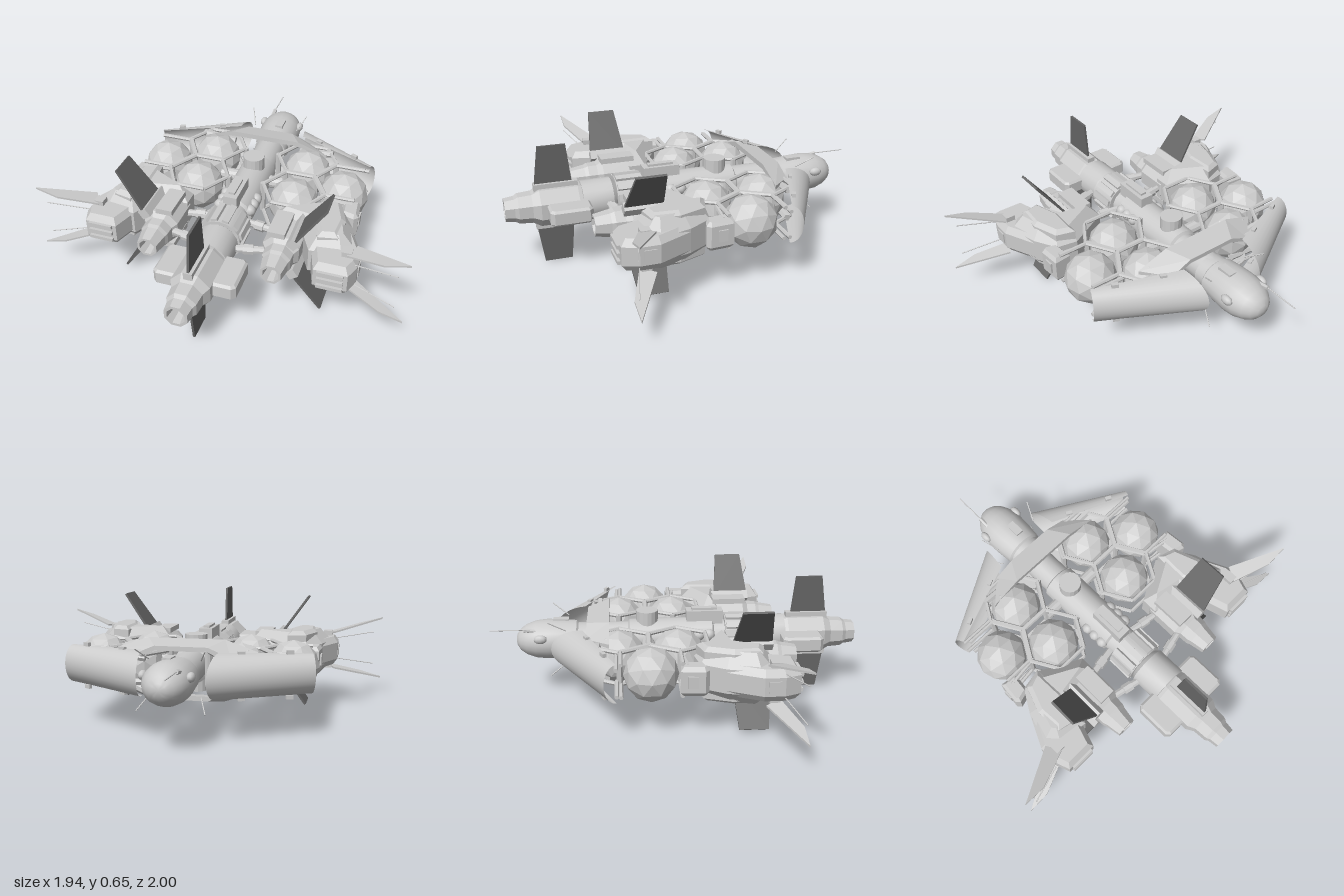
import * as THREE from 'three';
import { toCreasedNormals } from 'three/addons/utils/BufferGeometryUtils.js';

const CY = 0.327; // height of the ship's mid-plane

export function createModel() {
  const root = new THREE.Group();
  const grey = new THREE.MeshStandardMaterial({ color: 0xcccccc });
  const flat = new THREE.MeshStandardMaterial({ color: 0xcccccc, flatShading: true });
  const thin = new THREE.MeshStandardMaterial({ color: 0xcccccc, side: THREE.DoubleSide });
  const dark = new THREE.MeshStandardMaterial({ color: 0x666666, flatShading: true });
  const V = (x, y, z) => new THREE.Vector3(x, y, z);

  function add(name, geo, mat = flat, x = 0, y = 0, z = 0) {
    const m = new THREE.Mesh(geo, mat);
    m.name = name;
    m.position.set(x, y, z);
    root.add(m);
    return m;
  }
  const box = (name, w, h, d, x, y, z) => add(name, new THREE.BoxGeometry(w, h, d), flat, x, y, z);

  // Round bar between two points
  function bar(name, a, b, r, sides = 6) {
    const d = b.clone().sub(a);
    const m = add(name, new THREE.CylinderGeometry(r, r, d.length(), sides), flat);
    m.position.copy(a).add(b).multiplyScalar(0.5);
    m.quaternion.setFromUnitVectors(V(0, 1, 0), d.normalize());
    return m;
  }
  // Turned body along z from [z, radius] pairs
  function turned(name, pts, x, sides, mat = flat) {
    let g = new THREE.LatheGeometry(pts.map(([z, r]) => new THREE.Vector2(r, z)), sides);
    g.rotateX(Math.PI / 2);
    if (sides <= 8) g.rotateZ(Math.PI / sides);
    if (mat === grey) g = toCreasedNormals(g, 0.6);
    return add(name, g, mat, x, CY, 0);
  }
  // Chamfered slab from a plan outline in x and z
  function slab(name, pts, y0, y1, chamfer, drop = chamfer, s = 1) {
    const shape = new THREE.Shape(pts.map(([x, z]) => new THREE.Vector2(x * s, z)));
    const g = new THREE.ExtrudeGeometry(shape, {
      depth: y1 - y0 - 2 * drop, bevelEnabled: chamfer > 0, bevelSegments: 1,
      bevelSize: chamfer, bevelOffset: -chamfer, bevelThickness: drop });
    g.rotateX(Math.PI / 2);
    return add(name, g, flat, 0, y1 - drop, 0);
  }
  // Tapered fin growing in the x-y plane from root to tip
  function fin(name, x0, y0, x1, y1, rootZ, tipZ) {
    const len = Math.hypot(x1 - x0, y1 - y0);
    const sh = new THREE.Shape([
      new THREE.Vector2(0, rootZ[0]), new THREE.Vector2(len, tipZ[0]),
      new THREE.Vector2(len, tipZ[1]), new THREE.Vector2(0, rootZ[1])]);
    const g = new THREE.ExtrudeGeometry(sh, { depth: 0.012, bevelEnabled: false });
    g.translate(0, 0, -0.006).rotateX(Math.PI / 2);
    add(name, g, dark, x0, y0, 0).rotation.z = Math.atan2(y1 - y0, x1 - x0);
  }

  // Head
  turned('head', [[-0.87, 0], [-0.865, 0.035], [-0.845, 0.068], [-0.81, 0.095], [-0.76, 0.115], [-0.7, 0.122],
    [-0.62, 0.118], [-0.54, 0.11], [-0.53, 0.098], [-0.47, 0.095], [-0.47, 0]], 0, 20, grey).scale.y = 0.88;
  box('headHatch', 0.045, 0.02, 0.085, 0.02, CY + 0.1, -0.625);
  bar('antenna', V(-0.07, 0.405, -0.78), V(-0.07, 0.405, -1), 0.003);
  bar('antennaMount', V(-0.07, 0.39, -0.74), V(-0.07, 0.405, -0.82), 0.012);

  // Spine and main engine
  turned('spine', [[-0.5, 0], [-0.5, 0.085], [-0.26, 0.085], [-0.25, 0.1], [0.2, 0.1], [0.21, 0.085], [0.27, 0.085],
    [0.27, 0.11], [0.42, 0.11], [0.42, 0.09], [0.44, 0.108], [0.6, 0.108], [0.61, 0]], 0, 16, grey);
  turned('mainEngine', [[0.58, 0], [0.58, 0.1], [0.62, 0.108], [0.82, 0.108], [0.86, 0.085], [0.93, 0.08],
    [0.95, 0.068], [1, 0.062], [1, 0.047], [0.93, 0.035], [0.93, 0]], 0, 8);
  for (let i = 0; i < 12; i++) {
    const a = (i + 0.5) * Math.PI / 6;
    box('ringRib', 0.02, 0.034, 0.14, Math.cos(a) * 0.112, CY + Math.sin(a) * 0.112, 0.345).rotation.z = a;
  }
  slab('engineSidePlates', [[-0.21, 0.59], [-0.19, 0.57], [0.19, 0.57], [0.21, 0.59], [0.21, 0.77], [0.19, 0.79],
    [-0.19, 0.79], [-0.21, 0.77]], 0.285, 0.37, 0.012);
  bar('hub', V(0, 0.175, -0.155), V(0, 0.48, -0.155), 0.06, 16);
  bar('crossTube', V(-0.19, CY, -0.155), V(0.19, CY, -0.155), 0.035, 12);

  // Parts repeated above and below the mid-plane
  for (const v of [1, -1]) {
    fin('mainFin', 0, CY + v * 0.08, 0, CY + v * 0.326, [0.64, 0.845], [0.665, 0.81]);
    box('finRoot', 0.045, 0.05, 0.23, 0, CY + v * 0.1, 0.73);
    box('spineSaddle', 0.075, 0.09, 0.2, 0, CY + v * 0.105, 0.16);
    box('spineSaddleCap', 0.035, 0.03, 0.14, 0, CY + v * 0.147, 0.16);

    // Arched collar behind the head
    const half = [[0.37, 0.1], [0.2, 0.158], [-0.2, 0.158], [-0.37, 0.1], [-0.37, 0.075], [-0.2, 0.13], [0.2, 0.13], [0.37, 0.075]];
    const g = new THREE.ExtrudeGeometry(new THREE.Shape(half.map(([x, y]) => new THREE.Vector2(x, y * v))),
      { depth: 0.12, bevelEnabled: false });
    const p = g.attributes.position;
    for (let i = 0; i < p.count; i++) if (p.getZ(i) < 0.01) p.setXYZ(i, p.getX(i) * 0.68, p.getY(i) * 0.85, 0);
    g.computeVertexNormals();
    add('collar', g, flat, 0, CY, -0.48);
  }

  for (const s of [1, -1]) {
    // Spherical tanks in a hexagonal frame
    for (const [x, z] of [[0.275, -0.31], [0.275, -0.005], [0.52, -0.155]]) {
      add('sphereTank', new THREE.IcosahedronGeometry(0.138, 1), flat, s * x, CY, z);
      for (const v of [1, -1]) for (let i = 0; i < 6; i++) {
        if (x > 0.5 && (i === 0 || i === 5)) continue; // outer cell stays open
        const at = k => V(s * (x + 0.172 * Math.cos(k * Math.PI / 3)), CY + v * 0.085, z + 0.172 * Math.sin(k * Math.PI / 3));
        bar('frameBar', at(i), at(i + 1), 0.011);
      }
    }
    for (const [x, z] of [[0.44, -0.31], [0.44, -0.005], [0.36, -0.155], [0.185, -0.155], [0.1, -0.31], [0.1, -0.005]])
      bar('framePost', V(s * x, CY - 0.09, z), V(s * x, CY + 0.09, z), 0.016);
    for (const v of [1, -1]) {
      const y = CY + v * 0.07;
      bar('outerBar', V(s * 0.44, y, -0.325), V(s * 0.63, y, -0.325), 0.011);
      bar('outerBar', V(s * 0.44, y, 0.0), V(s * 0.6, y, 0.02), 0.011);
    }
    slab('outerBlock', [[0.55, -0.01], [0.64, -0.02], [0.65, 0.1], [0.63, 0.12], [0.56, 0.1]], 0.255, 0.405, 0.015, 0.02, s);
    box('outerBlockPanel', 0.01, 0.06, 0.05, s * 0.648, CY + 0.005, 0.04);

    // Curved shield beside the head, arc swept between its leading and trailing edges
    const g = new THREE.PlaneGeometry(1, 1, 1, 16);
    const p = g.attributes.position;
    const mix = THREE.MathUtils.lerp;
    for (let i = 0; i < p.count; i++) {
      const u = p.getX(i) + 0.5, a = p.getY(i) * Math.PI, c = Math.cos(a);
      p.setXYZ(i, s * mix(mix(0.195, 0.63, u), mix(0.17, 0.655, u), c),
        CY + Math.sin(a) * mix(0.115, 0.1, u), mix(mix(-0.5, -0.325, u), mix(-0.67, -0.385, u), c));
    }
    g.computeVertexNormals();
    add('shield', g, thin);
    for (const v of [1, -1]) {
      for (const u of [0.25, 0.75])
        box('shieldClip', 0.035, 0.02, 0.02, s * mix(0.19, 0.64, u), CY + v * 0.112, mix(-0.52, -0.34, u)).rotation.y = -s * 0.45;
      bar('shortAntenna', V(s * 0.13, CY + v * 0.09, -0.59), V(s * 0.17, CY + v * 0.15, -0.68), 0.003);
      bar('shieldArm', V(s * 0.2, CY + v * 0.06, -0.42), V(s * 0.4, CY + v * 0.08, -0.42), 0.02);
    }
    add('headSensor', new THREE.SphereGeometry(0.03, 10, 8), grey, s * 0.115, 0.365, -0.73).scale.set(0.7, 0.8, 1.2);

    // Side engine with two raked fins
    turned('sideEngine', [[0.2, 0], [0.2, 0.08], [0.24, 0.102], [0.42, 0.102], [0.45, 0.08], [0.5, 0.078],
      [0.52, 0.07], [0.6, 0.056], [0.6, 0.043], [0.53, 0.033], [0.53, 0]], s * 0.325, 8);
    for (const v of [1, -1]) {
      fin('sideFin', s * 0.39, CY + v * 0.09, s * 0.547, CY + v * 0.312, [0.26, 0.465], [0.285, 0.435]);
      box('finRoot', 0.05, 0.05, 0.22, s * 0.395, CY + v * 0.095, 0.355).rotation.z = -s * v * 0.61;
      box('engineCover', 0.09, 0.03, 0.19, s * 0.3, CY + v * 0.105, 0.335);
    }
    for (const [z0, z1] of [[0.24, 0.27], [0.47, 0.43]]) {
      bar('engineStrut', V(s * 0.08, CY, z0), V(s * 0.26, CY, z1), 0.02, 8);
      bar('strutSleeve', V(s * 0.14, CY, mix(z0, z1, 0.33)), V(s * 0.19, CY, mix(z0, z1, 0.6)), 0.028, 8);
    }
    for (const z of [0.07, 0.125, 0.18])
      add('smallTank', new THREE.SphereGeometry(0.032, 10, 8), grey, s * 0.085, CY + 0.03, z);

    // Wing body and outer pod
    slab('wingBody', [[0.235, 0.18], [0.46, 0.06], [0.57, 0.08], [0.64, 0.2], [0.685, 0.36], [0.63, 0.42],
      [0.47, 0.44], [0.4, 0.3], [0.235, 0.27]], 0.195, 0.462, 0.06, 0.07, s);
    slab('wingArmour', [[0.46, 0.07], [0.56, 0.1], [0.61, 0.24], [0.6, 0.38], [0.5, 0.4], [0.45, 0.25]], 0.185, 0.472, 0.025, 0.02, s);
    slab('outerPod', [[0.5, 0.22], [0.64, 0.2], [0.72, 0.37], [0.72, 0.47], [0.69, 0.55], [0.52, 0.55], [0.48, 0.42]],
      0.245, 0.41, 0.025, 0.035, s);
    for (const y of [-0.04, 0, 0.04]) box('podVent', 0.13, 0.018, 0.03, s * 0.605, CY + y, 0.55);
    box('podPanel', 0.015, 0.06, 0.06, s * 0.718, CY, 0.42);

    // Swept tail vanes
    for (const v of [1, -1]) {
      const vane = new THREE.Shape([[0.66, 0.46], [0.7, 0.385], [0.97, 0.535], [0.85, 0.535]]
        .map(([x, z]) => new THREE.Vector2(s * x, z)));
      const vg = new THREE.ExtrudeGeometry(vane, { depth: 0.01, bevelEnabled: false }).rotateX(Math.PI / 2);
      const q = vg.attributes.position;
      for (let i = 0; i < q.count; i++) // tilt away from the mid-plane
        q.setY(i, q.getY(i) + 0.005 + CY + v * (0.1 + (Math.abs(q.getX(i)) - 0.68) * 0.27));
      vg.computeVertexNormals();
      add('tailVane', vg);
      box('vaneMount', 0.05, 0.04, 0.05, s * 0.66, CY + v * 0.09, 0.43);
      bar('vaneRod', V(s * 0.7, CY + v * 0.06, 0.47), V(s * 0.92, CY + v * 0.095, 0.53), 0.003);
    }
  }
  return root;
}
